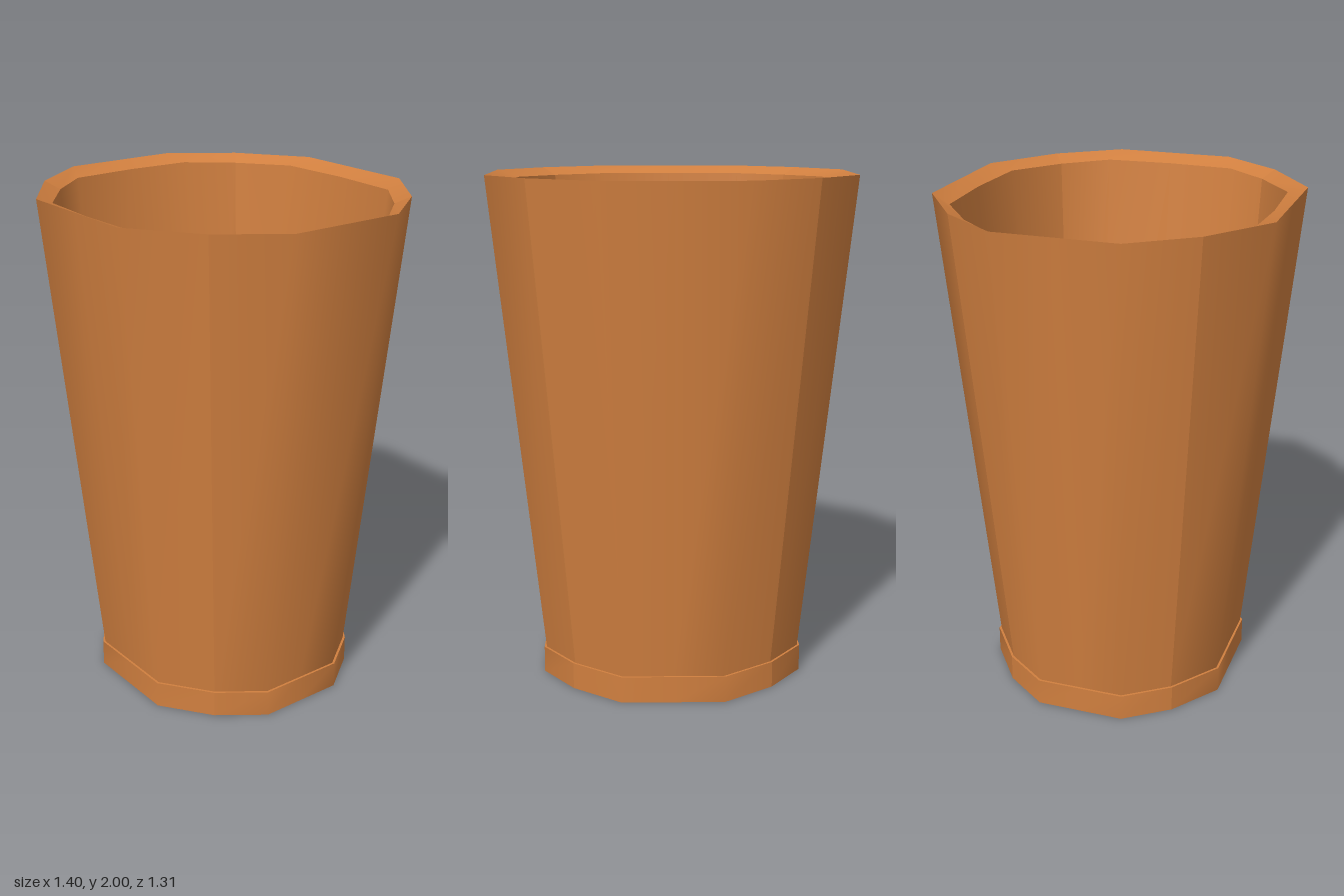
import * as THREE from 'three';

// Mirror a quarter outline (from +x round to +z) into a closed 16-point ring.
function makeRing(q) {
  const half = [...q, ...q.slice(0, 4).reverse().map(([x, z]) => [-x, z])];
  return [...half, ...half.slice(1, 8).reverse().map(([x, z]) => [x, -z])];
}
const scaleRing = (ring, s) => ring.map(([x, z]) => [x * s, z * s]);

// Four smooth panels between two rings, with sharp seams on the diagonal corners.
function panels(name, material, ringA, yA, ringB, yB) {
  const pos = [], index = [];
  for (let side = 0; side < 4; side++) {
    const base = pos.length / 3;
    for (let i = 0; i < 5; i++) {
      const k = (2 + side * 4 + i) % 16;
      pos.push(ringA[k][0], yA, ringA[k][1], ringB[k][0], yB, ringB[k][1]);
      if (i < 4) {
        const a = base + i * 2;
        index.push(a, a + 1, a + 2, a + 2, a + 1, a + 3);
      }
    }
  }
  const geo = new THREE.BufferGeometry();
  geo.setAttribute('position', new THREE.Float32BufferAttribute(pos, 3));
  geo.setIndex(index);
  geo.computeVertexNormals();
  const mesh = new THREE.Mesh(geo, material);
  mesh.name = name;
  return mesh;
}

// Flat cap filling a ring.
function cap(name, material, ring, y, up) {
  const shape = new THREE.Shape(ring.map(([x, z]) => new THREE.Vector2(x, up ? -z : z)));
  const geo = new THREE.ShapeGeometry(shape);
  geo.rotateX(up ? -Math.PI / 2 : Math.PI / 2);
  geo.translate(0, y, 0);
  const mesh = new THREE.Mesh(geo, material);
  mesh.name = name;
  return mesh;
}

export function createModel() {
  const group = new THREE.Group();
  group.name = 'cup';
  const clay = new THREE.MeshStandardMaterial({ color: 0xd07f3f });

  const outerTop = makeRing([[0.7, 0], [0.7, 0.235], [0.53, 0.467], [0.27, 0.655], [0, 0.655]]);
  const innerTop = makeRing([[0.635, 0], [0.62, 0.263], [0.48, 0.428], [0.295, 0.573], [0, 0.588]]);
  const floorRing = makeRing([[0.377, 0], [0.367, 0.238], [0.36, 0.357], [0.25, 0.411], [0, 0.423]]);
  const wallFoot = scaleRing(outerTop, 0.729);
  const bandRing = scaleRing(outerTop, 0.742);
  const bandY = 0.105, floorY = 0.11, lipY = 1.97;

  group.add(
    // Raised band around the foot
    cap('underside', clay, bandRing, 0, false),
    panels('baseBand', clay, bandRing, 0, bandRing, bandY),
    panels('baseLedge', clay, bandRing, bandY, wallFoot, bandY),
    // Tapered outside, rim sloping inward, and hollow inside
    panels('outerWall', clay, wallFoot, bandY, outerTop, 2),
    panels('rim', clay, outerTop, 2, innerTop, lipY),
    panels('innerWall', clay, innerTop, lipY, floorRing, floorY),
    cap('innerFloor', clay, floorRing, floorY, true),
  );
  return group;
}
